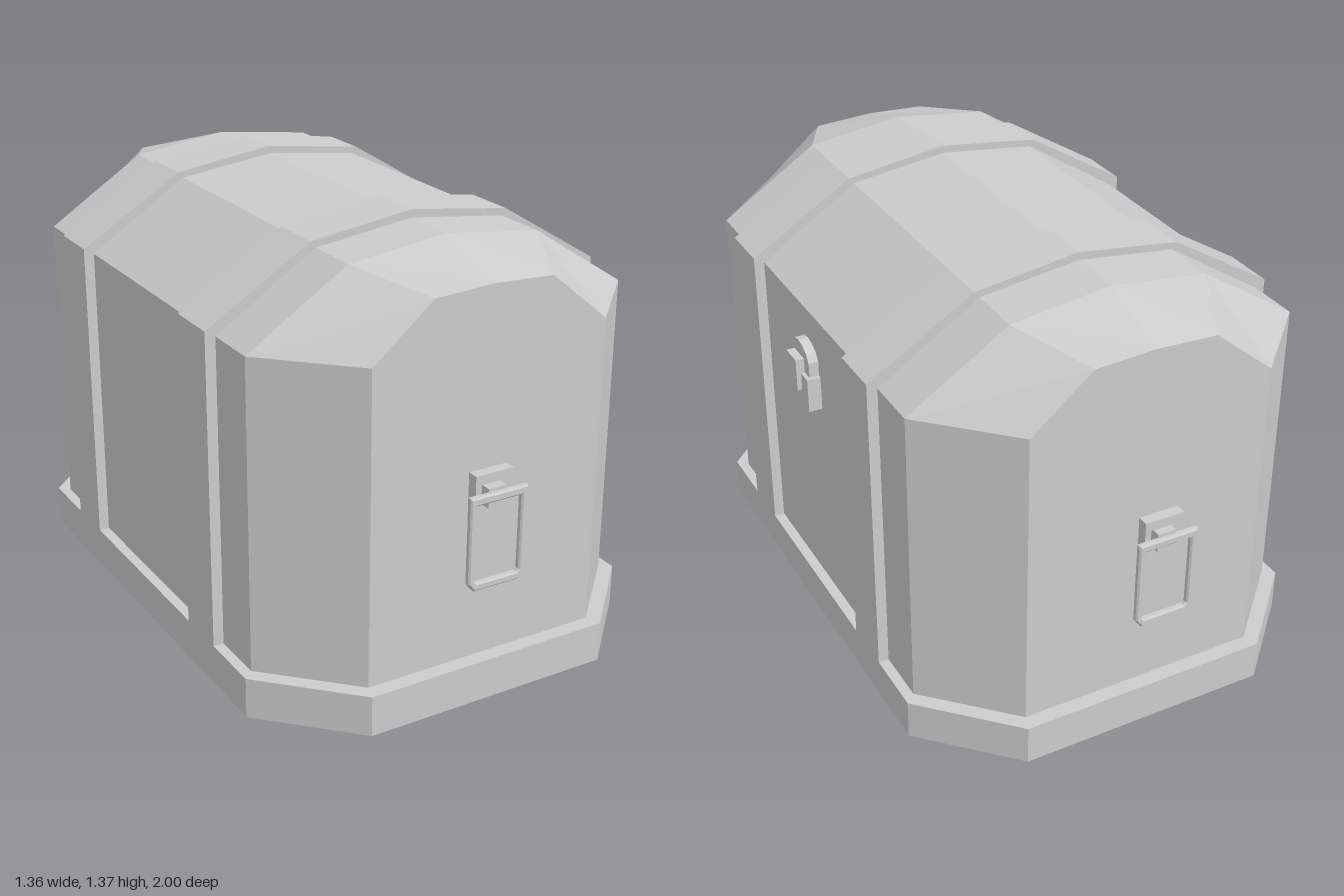
import * as THREE from 'three';

const CX = -0.013; // the chest is nudged left so the latch fits the overall width

export function createModel() {
  const root = new THREE.Group();
  root.name = 'chest';
  const grey = new THREE.MeshStandardMaterial({ color: 0xcccccc });
  grey.name = 'plain grey';

  const add = (name, geometry, parent) => {
    const g = geometry.index ? geometry.toNonIndexed() : geometry;
    g.computeVertexNormals(); // flat facets
    const mesh = new THREE.Mesh(g, grey);
    mesh.name = name;
    parent.add(mesh);
    return mesh;
  };
  const box = (name, parent, w, h, d, x, y, z) =>
    add(name, new THREE.BoxGeometry(w, h, d), parent).position.set(x, y, z);
  const polygon = (pts) => new THREE.Shape(pts.map(([x, y]) => new THREE.Vector2(x, y)));
  const rectangle = (x0, x1, y0, y1) => polygon([[x0, y0], [x0, y1], [x1, y1], [x1, y0]]);
  const extrude = (shape, depth, bevel = 0) => new THREE.ExtrudeGeometry(shape, {
    depth: depth - 2 * bevel, bevelEnabled: bevel > 0, bevelSize: bevel,
    bevelThickness: bevel, bevelOffset: -bevel, bevelSegments: 1, curveSegments: 5,
  }).translate(0, 0, bevel);

  // Arched outline: straight walls, sloped shoulders and a low peak
  const arch = (w, wallTop, s, shoulder, peak, bottom = 0.128) => [
    [w, bottom], [w, wallTop], [s, shoulder], [0, peak],
    [-s, shoulder], [-w, wallTop], [-w, bottom],
  ];

  const chest = new THREE.Group();
  chest.name = 'chestBody';
  chest.position.x = CX;
  root.add(chest);

  // Chest walls and lid, lofted through four arched sections
  const end = arch(0.388, 1.1, 0.195, 1.26, 1.27);
  const mid = arch(0.635, 1.1, 0.317, 1.305, 1.345);
  const sections = [[end, -0.935], [mid, -0.69], [mid, 0.69], [end, 0.935]]
    .map(([pts, z]) => pts.map(([x, y]) => [x, y, z]));
  const pos = [];
  const tri = (...corners) => corners.forEach((c) => pos.push(...c));
  for (let i = 0; i < 3; i++) {
    for (let j = 0; j < 6; j++) {
      const a = sections[i][j], b = sections[i][j + 1];
      const c = sections[i + 1][j], d = sections[i + 1][j + 1];
      tri(a, b, c);
      tri(b, d, c);
    }
  }
  for (let k = 1; k < 6; k++) {
    tri(sections[3][0], sections[3][k], sections[3][k + 1]);
    tri(sections[0][0], sections[0][k + 1], sections[0][k]);
  }
  const shell = new THREE.BufferGeometry();
  shell.setAttribute('position', new THREE.Float32BufferAttribute(pos, 3));
  add('wallsAndLid', shell, chest);

  // Octagonal plinth
  const plinth = polygon([
    [0.668, -0.72], [0.668, 0.72], [0.405, 0.983], [-0.405, 0.983],
    [-0.668, 0.72], [-0.668, -0.72], [-0.405, -0.983], [0.405, -0.983],
  ]);
  add('plinth', extrude(plinth, 0.128).rotateX(-Math.PI / 2), chest);

  // Two raised straps wrapping the walls and lid
  const strap = polygon(arch(0.668, 1.12, 0.333, 1.325, 1.37));
  for (const z of [-0.43, 0.43]) {
    add('strap', extrude(strap, 0.17).translate(0, 0, z - 0.085), chest);
  }

  // Latch on the +x side: lock box, arched hasp and tongue
  const latch = new THREE.Group();
  latch.name = 'latch';
  latch.position.x = 0.62;
  root.add(latch);
  box('lockBox', latch, 0.045, 0.112, 0.17, 0.0225, 0.851, 0);
  const hasp = polygon([
    [-0.074, 0.85], [0.074, 0.85], [0.074, 0.955], [0.058, 0.98], [0.03, 0.997],
    [0, 1.003], [-0.03, 0.997], [-0.058, 0.98], [-0.074, 0.955],
  ]);
  add('hasp', extrude(hasp, 0.033).rotateY(Math.PI / 2), latch);
  box('tongue', latch, 0.06, 0.105, 0.074, 0.03, 0.903, 0);

  // Drop handles on both ends
  const mount = rectangle(-0.064, 0.064, 0.585, 0.725);
  mount.holes.push(rectangle(-0.044, 0.044, 0.605, 0.695));
  const ring = polygon([
    [-0.098, 0.675], [-0.098, 0.405], [-0.078, 0.38],
    [0.078, 0.38], [0.098, 0.405], [0.098, 0.675],
  ]);
  ring.holes.push(polygon([
    [-0.076, 0.648], [0.076, 0.648], [0.076, 0.412],
    [0.068, 0.405], [-0.068, 0.405], [-0.076, 0.412],
  ]));
  for (const [name, x, turn] of [['frontHandle', -0.015, 0], ['backHandle', -0.049, Math.PI]]) {
    const handle = new THREE.Group();
    handle.name = name;
    handle.position.x = x;
    handle.rotation.y = turn;
    add('mount', extrude(mount, 0.035).translate(0, 0, 0.935), handle);
    box('hook', handle, 0.06, 0.06, 0.05, 0, 0.655, 0.96);
    add('ring', extrude(ring, 0.022, 0.005).translate(0, 0, 0.978), handle);
    root.add(handle);
  }
  return root;
}
